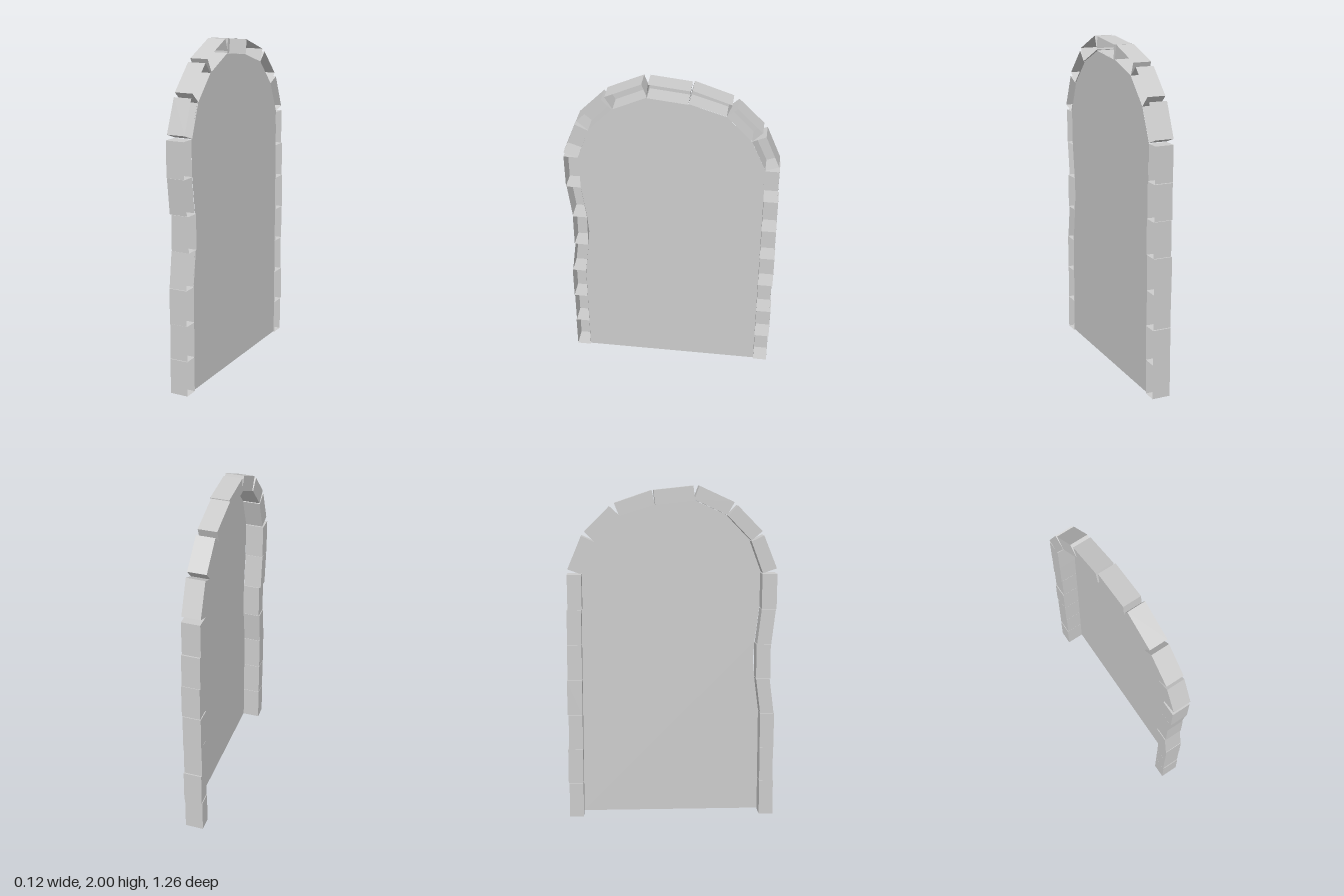
import * as THREE from 'three';

const HALF_DEPTH = 0.055;
const COURSE = 1.485 / 7; // height of one stone in the upright sides

// A hollow stone, open towards +x. Corners are [z, y]: outer, outer, inner, inner,
// running from the +z foot over the arch to the -z foot.
function stoneGeometry(corners, shift) {
  const back = corners.map(([z, y]) => [shift - HALF_DEPTH, y, z]);
  const front = corners.map(([z, y]) => [shift + HALF_DEPTH, y, z]);
  const pos = [];
  const quad = (a, b, c, d) => pos.push(...a, ...b, ...c, ...a, ...c, ...d);
  quad(...back);
  for (let i = 0; i < 4; i++) {
    const j = (i + 1) % 4;
    quad(front[i], front[j], back[j], back[i]);
  }
  const geo = new THREE.BufferGeometry();
  geo.setAttribute('position', new THREE.Float32BufferAttribute(pos, 3));
  geo.computeVertexNormals();
  return geo;
}

// Upright sides, bottom to top: [inner z at foot, inner z at head, width, x shift]
const waveSide = [
  [0.54, 0.54, 0.085, 0],
  [0.54, 0.54, 0.082, 0],
  [0.54, 0.54, 0.085, 0],
  [0.54, 0.513, 0.082, -0.001],
  [0.513, 0.513, 0.086, 0.003],
  [0.515, 0.54, 0.085, -0.006],
  [0.54, 0.542, 0.089, -0.006],
];
const straightSide = [
  [0.535, 0.535, 0.085, 0],
  [0.535, 0.535, 0.09, 0.003],
  [0.535, 0.535, 0.084, 0],
  [0.535, 0.535, 0.09, 0],
  [0.535, 0.535, 0.087, 0.004],
  [0.535, 0.535, 0.086, 0],
  [0.53, 0.532, 0.085, -0.004],
];

// Arch stones from +z to -z: outer start, outer end, inner end, inner start, x shift
const archStones = [
  [[0.628, 1.515], [0.55, 1.71], [0.475, 1.675], [0.545, 1.487], 0],
  [[0.54, 1.735], [0.393, 1.885], [0.335, 1.825], [0.475, 1.68], 0.001],
  [[0.373, 1.905], [0.165, 2.0], [0.135, 1.92], [0.33, 1.83], 0.004],
  [[0.13, 2.0], [-0.105, 1.975], [-0.093, 1.89], [0.14, 1.915], 0.002],
  [[-0.115, 1.975], [-0.335, 1.9], [-0.305, 1.825], [-0.095, 1.89], -0.006],
  [[-0.365, 1.88], [-0.51, 1.735], [-0.452, 1.675], [-0.305, 1.825], -0.006],
  [[-0.53, 1.71], [-0.612, 1.515], [-0.535, 1.487], [-0.452, 1.675], -0.006],
];

export function createModel() {
  const model = new THREE.Group();
  model.name = 'archedDoorway';
  const mat = new THREE.MeshStandardMaterial({
    color: 0xcccccc, flatShading: true, side: THREE.DoubleSide,
  });
  const addStone = (parent, name, corners, shift) => {
    const mesh = new THREE.Mesh(stoneGeometry(corners, shift), mat);
    mesh.name = name;
    parent.add(mesh);
  };

  // Upright stone sides
  for (const [name, side, s] of [['frontPost', waveSide, 1], ['backPost', straightSide, -1]]) {
    const post = new THREE.Group();
    post.name = name;
    side.forEach(([foot, head, width, shift], i) => {
      const y0 = i * COURSE, y1 = y0 + COURSE - 0.002;
      const corners = [
        [s * (foot + width), y0], [s * (head + width), y1], [s * head, y1], [s * foot, y0],
      ];
      // The mirrored side runs downwards so its faces still point outwards
      const loop = s > 0 ? corners : [corners[1], corners[0], corners[3], corners[2]];
      addStone(post, 'postStone' + (i + 1), loop, shift);
    });
    model.add(post);
  }

  // Ring of arch stones
  const arch = new THREE.Group();
  arch.name = 'arch';
  archStones.forEach((s, i) => addStone(arch, 'archStone' + (i + 1), s.slice(0, 4), s[4]));
  model.add(arch);

  // Thin panel filling the opening, following the inner edges of the stones
  const outline = [[0.54, 0.005], [0.54, 0.64], [0.513, 0.855], [0.505, 0.95], [0.513, 1.065], [0.54, 1.28]];
  for (const s of archStones) outline.push(s[3]);
  outline.push(archStones[6][2], [-0.535, 0.005]);
  const shape = new THREE.Shape(outline.map(([z, y]) => new THREE.Vector2(-z, y)));
  const panel = new THREE.Mesh(new THREE.ShapeGeometry(shape), mat);
  panel.geometry.rotateY(Math.PI / 2);
  panel.position.x = 0.05;
  panel.name = 'panel';
  model.add(panel);

  return model;
}
